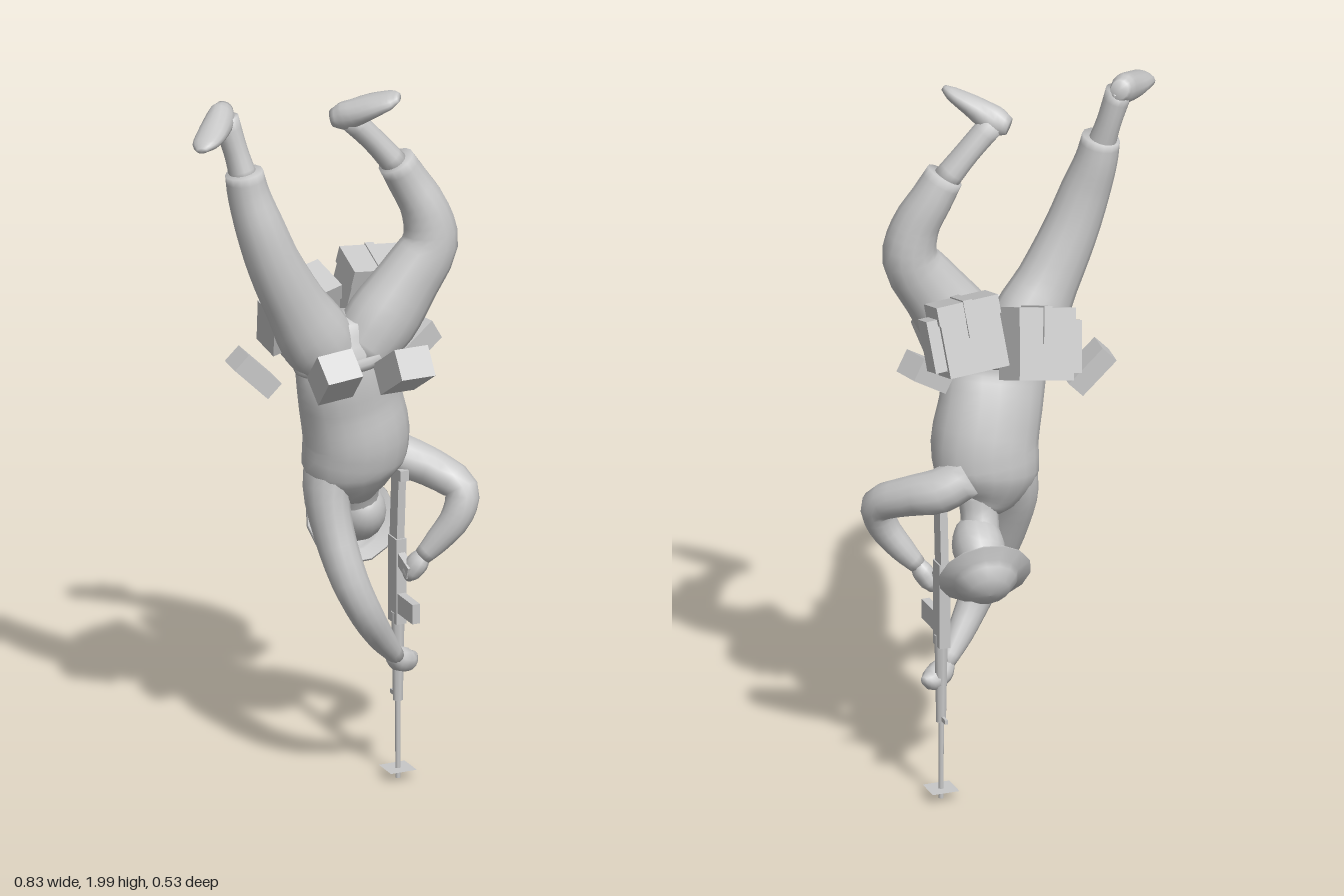
import * as THREE from 'three';

const grey = new THREE.MeshStandardMaterial({ color: 0xc8c8c8 });
grey.name = 'plain grey';
const greyThin = grey.clone();
greyThin.side = THREE.DoubleSide;

// Closed smooth loft through rings [x, y, z, radius across, radius in depth]
function loft(name, rings, sides = 14, steps = 3) {
  const curve = new THREE.CatmullRomCurve3(rings.map(r => new THREE.Vector3(r[0], r[1], r[2])));
  const radii = new THREE.CatmullRomCurve3(rings.map(r => new THREE.Vector3(r[3], r[4], 0)));
  const n = (rings.length - 1) * steps, pos = [], idx = [];
  const zAxis = new THREE.Vector3(0, 0, 1);
  for (let i = 0; i <= n; i++) {
    const p = curve.getPoint(i / n), r = radii.getPoint(i / n), t = curve.getTangent(i / n);
    const u = t.clone().cross(zAxis).normalize(), v = u.clone().cross(t);
    for (let j = 0; j < sides; j++) {
      const a = j / sides * Math.PI * 2;
      const q = p.clone().addScaledVector(u, Math.cos(a) * r.x).addScaledVector(v, Math.sin(a) * r.y);
      pos.push(q.x, q.y, q.z);
      if (i < n) {
        const A = i * sides + j, B = i * sides + (j + 1) % sides;
        idx.push(A, A + sides, B, B, A + sides, B + sides);
      }
    }
  }
  const s = (n + 1) * sides, first = rings[0], last = rings[rings.length - 1];
  pos.push(...first.slice(0, 3), ...last.slice(0, 3));
  for (let j = 0; j < sides; j++) {
    const k = (j + 1) % sides;
    idx.push(s, j, k, s + 1, n * sides + k, n * sides + j);
  }
  const g = new THREE.BufferGeometry();
  g.setAttribute('position', new THREE.Float32BufferAttribute(pos, 3));
  g.setIndex(idx);
  g.computeVertexNormals();
  return named(new THREE.Mesh(g, grey), name);
}

function named(o, name) { o.name = name; return o; }

function box(name, size, at, rot = [0, 0, 0]) {
  const m = named(new THREE.Mesh(new THREE.BoxGeometry(...size), grey), name);
  m.position.set(...at);
  m.rotation.set(...rot);
  return m;
}

function rod(name, r1, r2, y0, y1, x, z) {
  const m = named(new THREE.Mesh(new THREE.CylinderGeometry(r2, r1, y1 - y0, 8), grey), name);
  m.position.set(x, (y0 + y1) / 2, z);
  return m;
}

// Back pack with a pocket on its outer side and a strap over the lid
function pack(name, side, at, rot) {
  const g = named(new THREE.Group(), name);
  g.add(box('packBody', [0.165, 0.19, 0.11], [0, 0, 0]),
    box('packLid', [0.172, 0.05, 0.116], [0, 0.073, 0]),
    box('sidePocket', [0.035, 0.14, 0.08], [side * 0.098, -0.005, 0]),
    box('packStrap', [0.025, 0.1, 0.124], [0, 0.052, 0]));
  g.position.set(...at);
  g.rotation.set(...rot);
  return g;
}

export function createModel() {
  const model = named(new THREE.Group(), 'upsideDownSoldier');

  // Torso, hips to shoulders, and belt
  model.add(loft('torso', [
    [0.045, 1.35, 0.03, 0.06, 0.05], [0.045, 1.27, 0.02, 0.135, 0.09], [0.055, 1.19, 0.02, 0.142, 0.098],
    [0.075, 1.1, 0.0, 0.142, 0.112], [0.097, 1.0, -0.012, 0.145, 0.125], [0.095, 0.92, -0.025, 0.14, 0.118],
    [0.105, 0.86, -0.035, 0.1, 0.085], [0.12, 0.82, -0.045, 0.05, 0.05]], 18));
  model.add(loft('belt', [[0.048, 1.255, 0.02, 0.145, 0.103], [0.05, 1.24, 0.02, 0.147, 0.104],
    [0.052, 1.225, 0.02, 0.146, 0.103]], 18, 1));

  // Legs
  model.add(loft('rightLeg', [
    [0.0, 1.24, 0.025, 0.08, 0.085], [-0.045, 1.31, 0.035, 0.1, 0.088], [-0.105, 1.41, 0.045, 0.085, 0.076],
    [-0.17, 1.54, 0.05, 0.074, 0.071], [-0.21, 1.65, 0.045, 0.066, 0.066],
    [-0.235, 1.74, 0.03, 0.056, 0.06], [-0.247, 1.805, 0.025, 0.05, 0.056]]));
  model.add(loft('leftLeg', [
    [0.08, 1.24, 0.025, 0.08, 0.085], [0.15, 1.33, 0.035, 0.1, 0.088], [0.22, 1.43, 0.045, 0.088, 0.076],
    [0.283, 1.53, 0.05, 0.076, 0.071], [0.272, 1.62, 0.045, 0.064, 0.066],
    [0.232, 1.7, 0.03, 0.056, 0.06], [0.195, 1.765, 0.025, 0.05, 0.056]]));

  // Boots: shaft, then foot from heel to toe
  model.add(loft('rightBootShaft', [[-0.243, 1.78, 0.02, 0.038, 0.042], [-0.26, 1.86, 0.0, 0.032, 0.038],
    [-0.283, 1.95, -0.015, 0.036, 0.036]]));
  model.add(loft('rightBootFoot', [[-0.272, 1.965, -0.045, 0.026, 0.024], [-0.295, 1.953, -0.015, 0.042, 0.036],
    [-0.345, 1.938, 0.04, 0.032, 0.042], [-0.39, 1.928, 0.088, 0.019, 0.036], [-0.41, 1.922, 0.11, 0.008, 0.015]]));
  model.add(loft('leftBootShaft', [[0.2, 1.75, 0.02, 0.036, 0.042], [0.135, 1.83, 0.01, 0.032, 0.038],
    [0.07, 1.9, 0.005, 0.034, 0.036]]));
  model.add(loft('leftBootFoot', [[0.03, 1.897, -0.018, 0.024, 0.024], [0.06, 1.908, 0.005, 0.04, 0.036],
    [0.11, 1.942, 0.052, 0.03, 0.042], [0.15, 1.967, 0.09, 0.019, 0.034], [0.165, 1.978, 0.108, 0.009, 0.015]]));

  // Arms and hands
  model.add(loft('rightArm', [
    [0.04, 0.95, -0.03, 0.07, 0.085], [0.012, 0.86, -0.015, 0.06, 0.075], [0.015, 0.75, 0.02, 0.054, 0.06],
    [0.04, 0.62, 0.068, 0.05, 0.05], [0.085, 0.52, 0.075, 0.045, 0.045],
    [0.145, 0.43, 0.045, 0.036, 0.036], [0.2, 0.362, 0.015, 0.023, 0.026]]));
  model.add(loft('rightHand', [[0.185, 0.372, 0.02, 0.018, 0.02], [0.215, 0.348, 0.005, 0.034, 0.036],
    [0.245, 0.337, -0.01, 0.031, 0.034], [0.272, 0.342, -0.022, 0.01, 0.012]], 10));
  model.add(loft('leftArm', [
    [0.17, 0.94, -0.075, 0.055, 0.065], [0.24, 0.9, -0.06, 0.058, 0.066], [0.31, 0.87, 0.0, 0.052, 0.056],
    [0.365, 0.825, 0.07, 0.046, 0.048], [0.348, 0.76, 0.083, 0.042, 0.044],
    [0.3, 0.69, 0.065, 0.034, 0.036], [0.262, 0.645, 0.05, 0.024, 0.026]]));
  model.add(loft('leftHand', [[0.268, 0.655, 0.05, 0.018, 0.02], [0.25, 0.625, 0.042, 0.028, 0.034],
    [0.235, 0.595, 0.03, 0.024, 0.03], [0.23, 0.575, 0.025, 0.008, 0.01]], 10));

  // Neck and head
  model.add(loft('neck', [[0.125, 0.87, -0.04, 0.06, 0.06], [0.13, 0.81, -0.06, 0.05, 0.05],
    [0.14, 0.74, -0.09, 0.055, 0.055]]));
  const skull = named(new THREE.Group(), 'headAndHelmet');
  const head = named(new THREE.Mesh(new THREE.SphereGeometry(1, 16, 12), grey), 'head');
  head.scale.set(0.07, 0.1, 0.078);
  head.position.y = -0.09;
  // Wide-brimmed helmet, its own y axis pointing out through the crown
  const profile = [[0.122, -0.012], [0.125, -0.006], [0.088, 0.01], [0.08, 0.026], [0.055, 0.052], [0.026, 0.063], [0, 0.065]]
    .map(p => new THREE.Vector2(...p));
  const helmet = named(new THREE.Mesh(new THREE.LatheGeometry(profile, 14), greyThin), 'helmet');
  skull.add(head, helmet);
  skull.position.set(0.16, 0.69, -0.18);
  skull.quaternion.setFromUnitVectors(new THREE.Vector3(0, 1, 0), new THREE.Vector3(0.12, -0.52, -0.84).normalize());
  model.add(skull);

  // Rifle, muzzle down
  const rifle = named(new THREE.Group(), 'rifle');
  const X = 0.225, Z = -0.025;
  rifle.add(rod('barrel', 0.007, 0.008, 0, 0.26, X, Z),
    rod('handguard', 0.014, 0.019, 0.22, 0.47, X, Z),
    box('frontSight', [0.008, 0.012, 0.035], [X, 0.232, -0.047]),
    box('receiver', [0.03, 0.24, 0.05], [X, 0.56, -0.028]),
    box('magazine', [0.022, 0.055, 0.095], [X, 0.5, 0.04]),
    box('grip', [0.02, 0.035, 0.07], [X, 0.615, 0.02], [0.35, 0, 0]),
    box('stock', [0.022, 0.2, 0.045], [X, 0.77, -0.025], [0.06, 0, 0]),
    box('buttPlate', [0.024, 0.03, 0.065], [X, 0.865, -0.015]));
  const plate = named(new THREE.Mesh(new THREE.PlaneGeometry(0.075, 0.075), greyThin), 'muzzlePlate');
  plate.rotation.x = -Math.PI / 2;
  plate.position.set(X, 0.028, Z);
  rifle.add(plate);
  model.add(rifle);

  // Belt pouches
  model.add(box('frontRightPouch', [0.1, 0.085, 0.125], [-0.05, 1.245, 0.17], [-0.8, -0.08, 0.05]),
    box('frontLeftPouch', [0.1, 0.085, 0.14], [0.142, 1.24, 0.19], [-0.6, 0.06, 0]),
    box('leftPouch', [0.12, 0.065, 0.08], [0.265, 1.23, -0.02], [0, 0.25, 0.55]),
    box('rightPouch', [0.13, 0.055, 0.08], [-0.175, 1.195, -0.07], [0, -0.1, -0.78]));

  // Back packs
  model.add(pack('backRightPack', -1, [0.0, 1.315, -0.14], [0.35, 0.18, 0.15]),
    pack('backLeftPack', 1, [0.185, 1.36, -0.115], [0.3, -0.06, -0.08]));
  return model;
}
